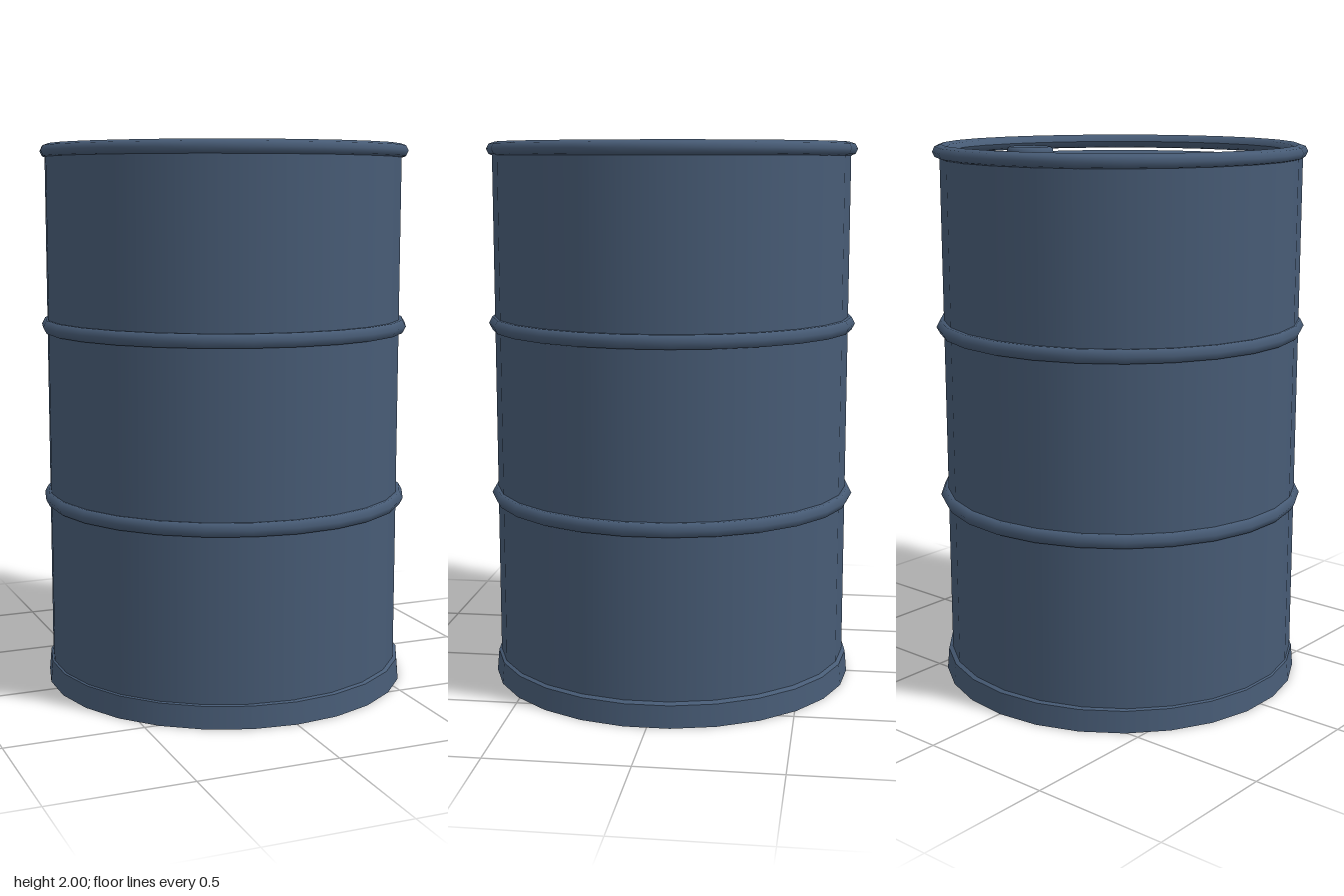
import * as THREE from 'three';

export function createModel() {
  const drum = new THREE.Group();
  drum.name = 'drum';
  const paint = new THREE.MeshStandardMaterial({ color: 0x475b75 });
  paint.name = 'blue steel paint';
  const SIDES = 26;

  const add = (name, geometry, x = 0, y = 0, z = 0, parent = drum) => {
    const mesh = new THREE.Mesh(geometry, paint);
    mesh.name = name;
    mesh.position.set(x, y, z);
    parent.add(mesh);
    return mesh;
  };

  // Horizontal ring with a rounded cross-section of half-width w and half-height h
  const ring = (radius, w, h, steps, sides) => {
    const profile = [];
    for (let i = 0; i <= steps; i++) {
      const a = (i / steps) * Math.PI * 2;
      profile.push(new THREE.Vector2(radius - Math.cos(a) * w, -Math.sin(a) * h));
    }
    return new THREE.LatheGeometry(profile, sides);
  };

  // Horizontal disc facing up or down, its corners in line with the rings
  const disc = (radius, sides, up = true) =>
    new THREE.CircleGeometry(radius, sides, -Math.PI / 2).rotateX(up ? -Math.PI / 2 : Math.PI / 2);

  // Side wall, top lid and base plate
  add('body', new THREE.CylinderGeometry(0.657, 0.657, 1.9, SIDES, 1, true), -0.004, 1.01, 0.002);
  add('lid', disc(0.65, SIDES), 0, 1.938);
  add('base', disc(0.66, SIDES, false), 0, 0.012);

  // Rolled top rim and the two rolling hoops
  add('topRim', ring(0.648, 0.031, 0.026, 8, SIDES), 0, 1.974);
  for (const [name, y] of [['lowerHoop', 0.7], ['upperHoop', 1.34]]) {
    add(name, ring(0.655, 0.026, 0.028, 6, SIDES), 0, y);
  }

  // Bottom skirt, slightly flared, with separate creased faces
  const skirt = [[0.65, 0.015, 0.65, 0], [0.65, 0, 0.675, 0], [0.675, 0, 0.668, 0.08],
    [0.668, 0.08, 0.65, 0.09]];
  const skirtGroup = new THREE.Group();
  skirtGroup.name = 'bottomSkirt';
  drum.add(skirtGroup);
  skirt.forEach(([r0, y0, r1, y1], i) => add(`skirtFace${i + 1}`,
    new THREE.LatheGeometry([new THREE.Vector2(r0, y0), new THREE.Vector2(r1, y1)], SIDES),
    0, 0, 0, skirtGroup));

  // Filler opening: collar, recessed plug and a small pouring lip
  const filler = new THREE.Group();
  filler.name = 'filler';
  filler.position.set(0.45, 1.94, 0);
  drum.add(filler);
  add('fillerCollar', ring(0.079, 0.014, 0.024, 8, 12), 0, 0.008, 0, filler);
  add('fillerPlug', disc(0.075, 12), 0, 0.006, 0, filler);
  add('fillerLip', new THREE.ConeGeometry(0.012, 0.022, 4).rotateZ(-Math.PI / 2), 0.09, 0.012, 0, filler);

  return drum;
}
